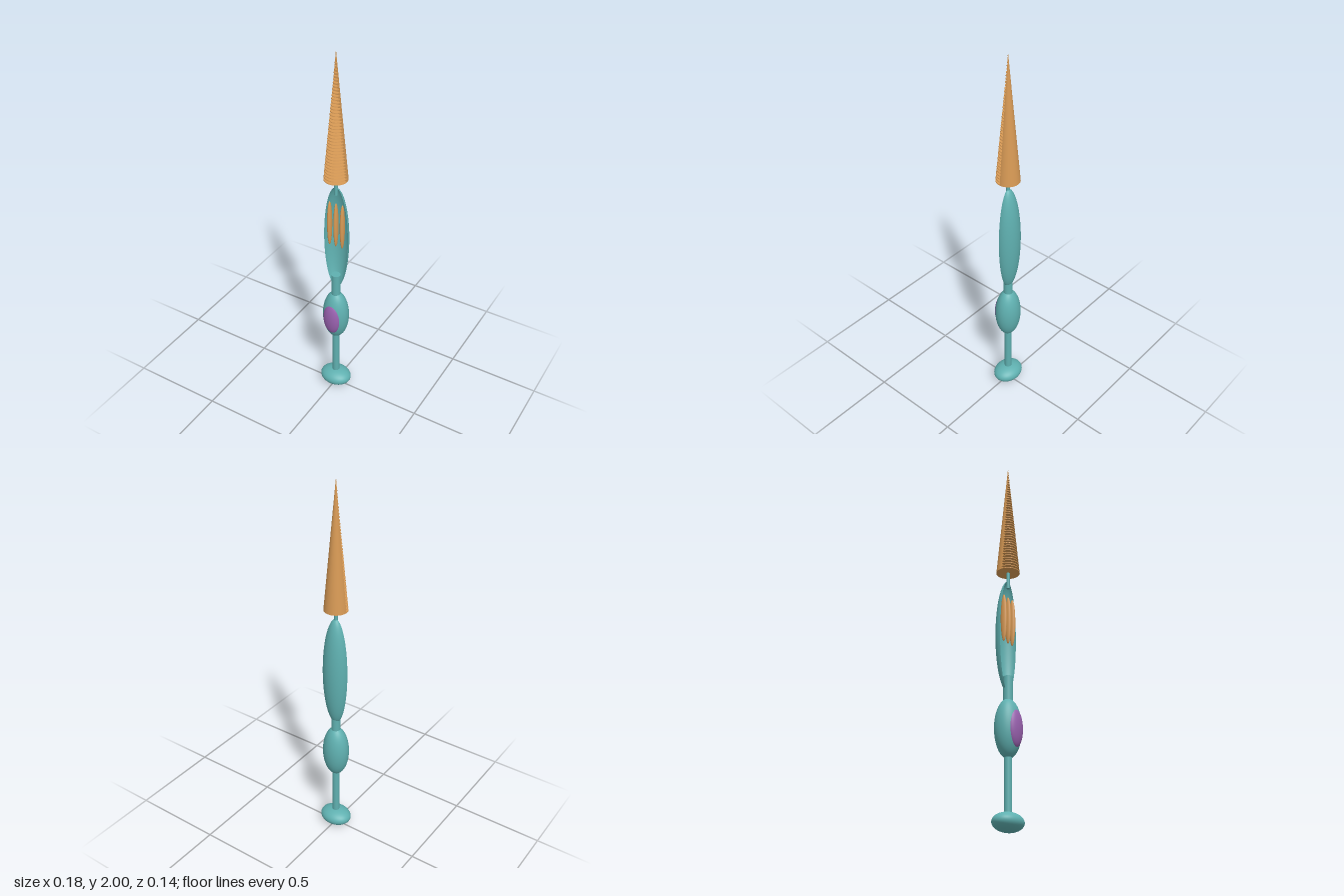
import * as THREE from 'three';

const teal = new THREE.MeshStandardMaterial({ color: 0x5fb0b0, side: THREE.DoubleSide });
const orange = new THREE.MeshStandardMaterial({ color: 0xd89a55, side: THREE.DoubleSide });
const purple = new THREE.MeshStandardMaterial({ color: 0x9a62b0 });

export function createModel() {
  const group = new THREE.Group();

  function add(name, geometry, material, x, y, z) {
    const mesh = new THREE.Mesh(geometry, material);
    mesh.name = name;
    mesh.position.set(x, y, z);
    group.add(mesh);
    return mesh;
  }
  const ellipsoid = (rx, ry, rz) => new THREE.SphereGeometry(1, 48, 32).scale(rx, ry, rz);
  const rod = (name, r, y0, y1) =>
    add(name, new THREE.CylinderGeometry(r, r, y1 - y0, 32), teal, 0, (y0 + y1) / 2, 0);

  // Foot, stem and bulbous grip with its inset pad
  add('foot', ellipsoid(0.088, 0.046, 0.071), teal, 0, 0.046, 0);
  rod('stem', 0.019, 0.08, 0.36);
  add('grip', ellipsoid(0.072, 0.15, 0.065), teal, 0, 0.495, 0);
  add('gripPad', ellipsoid(0.05, 0.098, 0.03), purple, 0, 0.49, 0.041);
  rod('neck', 0.024, 0.62, 0.76);

  // Hollow bowl, open to the front (the back half of an ellipsoid)
  const bowl = new THREE.SphereGeometry(1, 32, 48, Math.PI, Math.PI).scale(0.07, 0.305, 0.06);
  add('bowl', bowl, teal, 0, 0.985, 0);

  // Three slender prongs across the bowl opening
  for (const x of [-0.037, 0, 0.037]) {
    add('prong', ellipsoid(0.011, 0.13, 0.018), orange, x, 1.07, 0);
  }

  // Pin joining the bowl and the spike
  rod('pin', 0.009, 1.25, 1.35);

  // Spike: smooth half cone behind, closed by a flat face
  const base = 1.34, height = 0.66, radius = 0.061;
  add('spikeBack', new THREE.ConeGeometry(radius, height, 40, 1, false, Math.PI / 2, Math.PI),
    orange, 0, base + height / 2, 0);
  const face = new THREE.Shape([
    new THREE.Vector2(-radius, 0), new THREE.Vector2(radius, 0), new THREE.Vector2(0, height),
  ]);
  add('spikeFace', new THREE.ShapeGeometry(face), orange, 0, base, 0);

  // Stacked thin half discs form the ridged front of the spike
  const ridges = 42;
  for (let i = 0; i < ridges; i++) {
    const t = i / ridges;
    const r = radius * (1 - t);
    const disc = new THREE.CylinderGeometry(r * 0.98, r, 0.004, 24, 1, false, -Math.PI / 2, Math.PI);
    add('ridge', disc, orange, 0, base + 0.002 + t * height, 0);
  }
  return group;
}
